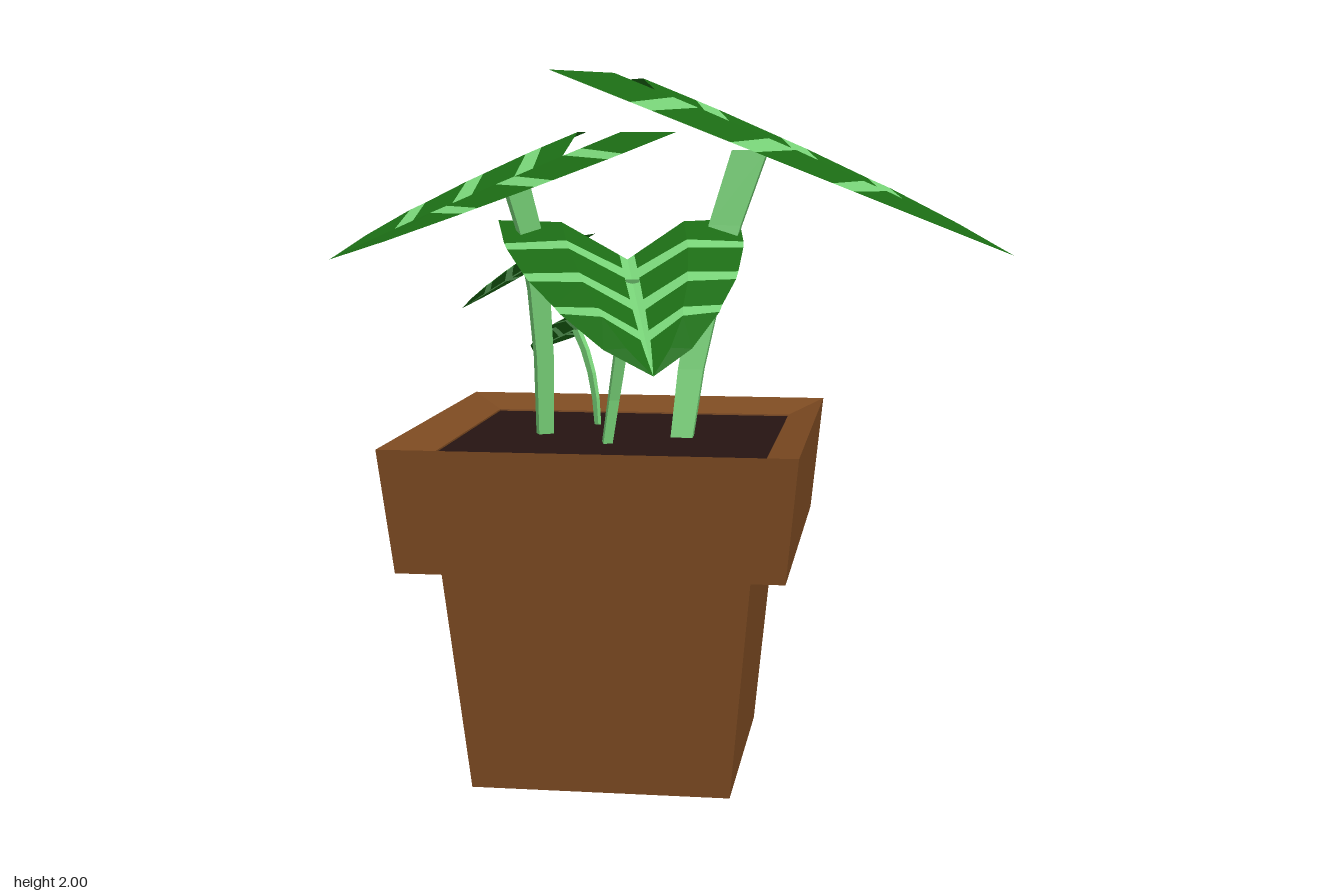
import * as THREE from 'three';

const mat = (color) => new THREE.MeshStandardMaterial({ color, flatShading: true, side: THREE.DoubleSide });
const clay = mat(0x7c4a21), soilMat = mat(0x261412);
const darkGreen = mat(0x1b6b14), lightGreen = mat(0x76d076);
const V = (a) => new THREE.Vector3(...a);
const UP = new THREE.Vector3(0, 1, 0);

// Rows of a unit-length leaf: [rib position, edge position, edge half width, stripe after this row]
const ROWS = [
  [0, -0.35, 0.535, 0], [0.12, -0.12, 0.52, 1], [0.21, -0.06, 0.51, 0], [0.4, 0.16, 0.455, 1],
  [0.49, 0.23, 0.435, 0], [0.66, 0.45, 0.345, 1], [0.74, 0.51, 0.325, 0], [0.87, 0.8, 0.175, 0], [1, 1, 0, 0],
];
const STEM_AT = 0.18; // where the stem meets the rib

// Plants: notch and tip of the leaf, base and bend of the stem
const PLANTS = [
  { name: 'largeRight', notch: [0.01, 1.85, -0.14], tip: [0.94, 1.485, -0.14], base: [-0.01, 0.95, -0.04], bend: [0.02, 1.35, -0.12] },
  { name: 'mediumLeft', notch: [-0.37, 1.735, 0.01], tip: [-0.94, 1.49, 0.33], base: [-0.42, 0.95, -0.05], bend: [-0.4, 1.45, 0] },
  { name: 'mediumFront', notch: [-0.15, 1.48, 0.08], tip: [0.01, 1.225, 0.67], base: [-0.21, 0.95, 0.09], bend: [-0.17, 1.22, 0.09] },
  { name: 'smallLeft', notch: [-0.43, 1.47, -0.14], tip: [-0.7, 1.31, -0.19], base: [-0.44, 0.95, -0.155], bend: [-0.42, 1.3, -0.16] },
  { name: 'smallBack', notch: [-0.335, 1.255, -0.28], tip: [-0.54, 1.155, -0.45], base: [-0.295, 0.95, -0.24], bend: [-0.3, 1.13, -0.24] },
];

function triangles(points) {
  const g = new THREE.BufferGeometry().setFromPoints(points);
  g.computeVertexNormals();
  return g;
}

function pushQuad(list, a, b, c, d) {
  list.push(a, b, c);
  if (c.distanceTo(d) > 1e-6) list.push(a, c, d);
}

function named(mesh, name) {
  mesh.name = name;
  return mesh;
}

// Arrow-shaped leaf folded along the rib and halfway across each lobe
function makeLeaf(notch, dir, side, normal, size) {
  const place = (u, w, n) => notch.clone()
    .addScaledVector(dir, u * size).addScaledVector(side, w * size).addScaledVector(normal, n * size);
  const dark = [], light = [];
  for (const s of [1, -1]) {
    const grid = ROWS.map(([rib, edge, w]) => {
      const a = place(rib, 0, 0);
      const mid = place((rib + edge) / 2 - 0.1 * w, s * w / 2, 0.13 * w);
      return [a, a.clone().lerp(mid, 0.12), mid, place(edge, s * w, 0.043 * w)];
    });
    for (let r = 0; r < ROWS.length - 1; r++) {
      for (let c = 0; c < 3; c++) {
        const q = [grid[r][c], grid[r + 1][c], grid[r + 1][c + 1], grid[r][c + 1]];
        const list = c === 0 || ROWS[r][3] ? light : dark;
        // The tip row collapses to one point
        if (r === ROWS.length - 2) pushQuad(list, q[3], q[0], q[1], q[2]);
        else pushQuad(list, ...q);
        if (s > 0) continue;
        const count = r === ROWS.length - 2 ? 3 : 6;
        for (let i = list.length - count; i < list.length; i += 3) {
          [list[i + 1], list[i + 2]] = [list[i + 2], list[i + 1]];
        }
      }
    }
  }
  const leaf = new THREE.Group();
  leaf.add(named(new THREE.Mesh(triangles(dark), darkGreen), 'leafBlade'));
  leaf.add(named(new THREE.Mesh(triangles(light), lightGreen), 'leafStripes'));
  return leaf;
}

// Four-sided bent stem, widening toward the leaf
function makeStem(base, bend, top, dir, side, size) {
  const curve = new THREE.QuadraticBezierCurve3(base, bend, top);
  const flat = new THREE.Vector3(dir.x, 0, dir.z).normalize();
  const rings = curve.getPoints(4).map((p, i) => {
    const w = size * (0.032 + 0.005 * i), t = size * (0.02 + 0.002 * i);
    return [[1, 1], [1, -1], [-1, -1], [-1, 1]].map(([a, b]) =>
      p.clone().addScaledVector(flat, a * w).addScaledVector(side, b * t));
  });
  const pts = [];
  for (let i = 0; i < 4; i++) {
    for (let k = 0; k < 4; k++) {
      const n = (k + 1) % 4;
      pushQuad(pts, rings[i][k], rings[i][n], rings[i + 1][n], rings[i + 1][k]);
    }
  }
  return new THREE.Mesh(triangles(pts), lightGreen);
}

export function createModel() {
  const model = new THREE.Group();
  model.name = 'pottedPlant';

  // Square tapered pot with a wide collar
  const profile = [[0, 0], [0.367, 0], [0.43, 0.655], [0.53, 0.655], [0.565, 1], [0.462, 0.96], [0.462, 0.94]]
    .map(([r, y]) => new THREE.Vector2(r * Math.SQRT2, y));
  const pot = named(new THREE.Mesh(new THREE.LatheGeometry(profile, 4, Math.PI / 4), clay), 'pot');
  const soil = named(new THREE.Mesh(new THREE.PlaneGeometry(0.924, 0.924).rotateX(-Math.PI / 2), soilMat), 'soil');
  soil.position.y = 0.955;
  const planter = named(new THREE.Group(), 'planter');
  planter.position.set(-0.192, 0, -0.015);
  planter.add(pot, soil);
  model.add(planter);

  // Leaves on their stems
  for (const p of PLANTS) {
    const notch = V(p.notch), dir = V(p.tip).sub(notch), size = dir.length();
    dir.normalize();
    const side = dir.clone().cross(UP).normalize();
    const normal = side.clone().cross(dir);
    const top = notch.clone().addScaledVector(dir, STEM_AT * size);
    const shoot = named(new THREE.Group(), p.name + 'Shoot');
    shoot.add(named(makeLeaf(notch, dir, side, normal, size), 'leaf'));
    shoot.add(named(makeStem(V(p.base), V(p.bend), top, dir, side, size), 'stem'));
    model.add(shoot);
  }
  return model;
}
